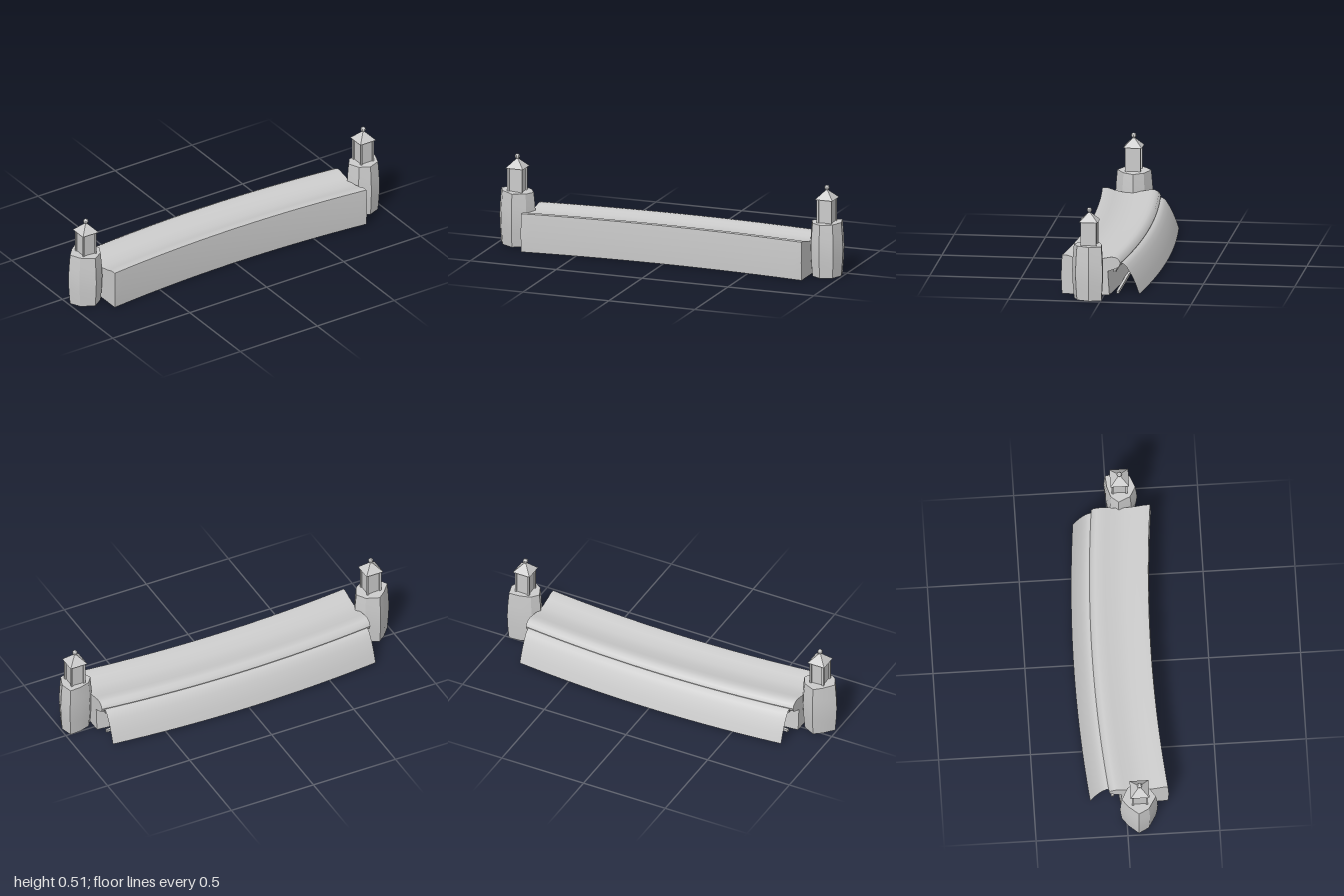
import * as THREE from 'three';
import { toCreasedNormals } from 'three/addons/utils/BufferGeometryUtils.js';

const smooth = new THREE.MeshStandardMaterial({ color: 0xcccccc, side: THREE.DoubleSide });
const flat = new THREE.MeshStandardMaterial({ color: 0xcccccc, side: THREE.DoubleSide, flatShading: true });

function add(parent, name, geometry, material, x = 0, y = 0, z = 0) {
  const mesh = new THREE.Mesh(geometry, material);
  mesh.name = name;
  mesh.position.set(x, y, z);
  parent.add(mesh);
  return mesh;
}

// Skin a rectangular grid of points: rows i, columns j
function skin(rows, cols, point) {
  const positions = [], index = [];
  for (let i = 0; i <= rows; i++) {
    for (let j = 0; j <= cols; j++) positions.push(...point(i, j));
  }
  for (let i = 0; i < rows; i++) {
    for (let j = 0; j < cols; j++) {
      const a = i * (cols + 1) + j, b = a + cols + 1;
      index.push(a, b, b + 1, a, b + 1, a + 1);
    }
  }
  const g = new THREE.BufferGeometry();
  g.setAttribute('position', new THREE.Float32BufferAttribute(positions, 3));
  g.setIndex(index);
  return g;
}

// The whole wall bows: its ends come forward
const bow = (x) => 0.045 * (x / 0.815) ** 2;

// Sweep a [z, y] profile along the bow from x0 to x1
function sweep(profile, x0, x1, crease) {
  const steps = 32;
  const g = skin(steps, profile.length - 1, (i, j) => {
    const x = x0 + (x1 - x0) * i / steps;
    return [x, profile[j][1], profile[j][0] + bow(x)];
  });
  return toCreasedNormals(g, crease);
}

// Hollow barrel pillar over a [x, z] footprint, with a slightly sloping top
function pillar(footprint, cx, cz, slope) {
  const rings = [[0, 0.9], [0.08, 0.97], [0.15, 1], [0.22, 0.97], [0.299, 0.9], [0.299, 0]];
  const n = footprint.length;
  return skin(rings.length - 1, n, (i, j) => {
    const [y, s] = rings[i];
    const dx = (footprint[j % n][0] - cx) * s, dz = (footprint[j % n][1] - cz) * s;
    return [cx + dx, y + (y > 0.29 ? slope * dx : 0), cz + dz];
  });
}

function lantern(name, x, z) {
  const g = new THREE.Group();
  g.name = name;
  g.position.set(x, 0, z);
  add(g, 'lanternPanes', new THREE.BoxGeometry(0.072, 0.135, 0.072), flat, 0, 0.3625, 0);
  for (const sx of [-1, 1]) {
    for (const sz of [-1, 1]) {
      add(g, 'lanternPost', new THREE.BoxGeometry(0.011, 0.135, 0.011), flat, sx * 0.0375, 0.3625, sz * 0.0375);
    }
  }
  const roof = new THREE.ConeGeometry(0.051 * Math.SQRT2, 0.053, 4).rotateY(Math.PI / 4);
  add(g, 'lanternRoof', roof, flat, 0, 0.4565, 0);
  add(g, 'lanternFinial', new THREE.SphereGeometry(0.0145, 8, 6), flat, 0, 0.491, 0);
  return g;
}

export function createModel() {
  const model = new THREE.Group();
  model.name = 'fountainWall';

  // Wall with cap, shallow channel and rounded spill lip; open underneath
  const wall = [
    [0.185, 0], [0.19, 0.1], [0.185, 0.215], [0.155, 0.215], [0.12, 0.203],
    [0.06, 0.19], [0, 0.194], [-0.05, 0.205], [-0.085, 0.212], [-0.105, 0.21],
    [-0.125, 0.2], [-0.135, 0.18], [-0.129, 0.16], [-0.11, 0.148], [-0.066, 0.132], [-0.075, 0],
  ];
  const ends = [-0.81, 0.825];
  add(model, 'wall', sweep(wall, ends[0], ends[1], 0.75), smooth);
  for (const x of ends) {
    const shape = new THREE.Shape(wall.map(([z, y]) => new THREE.Vector2(z, y)));
    add(model, 'wallEnd', new THREE.ShapeGeometry(shape).rotateY(-Math.PI / 2), smooth, x, 0, bow(x));
  }

  // Falling sheet of water behind the lip
  const fall = [
    [-0.105, 0.172], [-0.13, 0.176], [-0.147, 0.173], [-0.164, 0.158],
    [-0.182, 0.13], [-0.2, 0.097], [-0.218, 0.055], [-0.235, 0.006],
  ];
  add(model, 'waterSheet', sweep(fall, -0.79, 0.81, 1.2), smooth);

  // Straight strips, showing where the bowed back falls away from them
  add(model, 'upperStrip', new THREE.BoxGeometry(1.56, 0.011, 0.014), flat, 0.01, 0.126, -0.054);
  add(model, 'lowerStrip', new THREE.BoxGeometry(1.56, 0.015, 0.015), flat, 0.01, 0.0085, -0.07);

  // Two rough-hewn pillars, each carrying a lantern
  const rightFoot = [
    [-1, 0.06], [-0.948, 0], [-0.9, -0.037], [-0.825, 0],
    [-0.79, 0.06], [-0.82, 0.122], [-0.89, 0.169], [-0.968, 0.122],
  ];
  const leftFoot = [
    [0.81, 0.06], [0.845, 0.015], [0.91, -0.006], [0.98, -0.012],
    [1, 0.062], [0.972, 0.137], [0.9, 0.165], [0.84, 0.13],
  ];
  add(model, 'rightPillar', toCreasedNormals(pillar(rightFoot, -0.895, 0.065, -0.06), 0.5), smooth);
  add(model, 'leftPillar', toCreasedNormals(pillar(leftFoot, 0.91, 0.065, 0.02), 0.5), smooth);
  model.add(lantern('rightLantern', -0.893, 0.069), lantern('leftLantern', 0.91, 0.069));

  return model;
}
